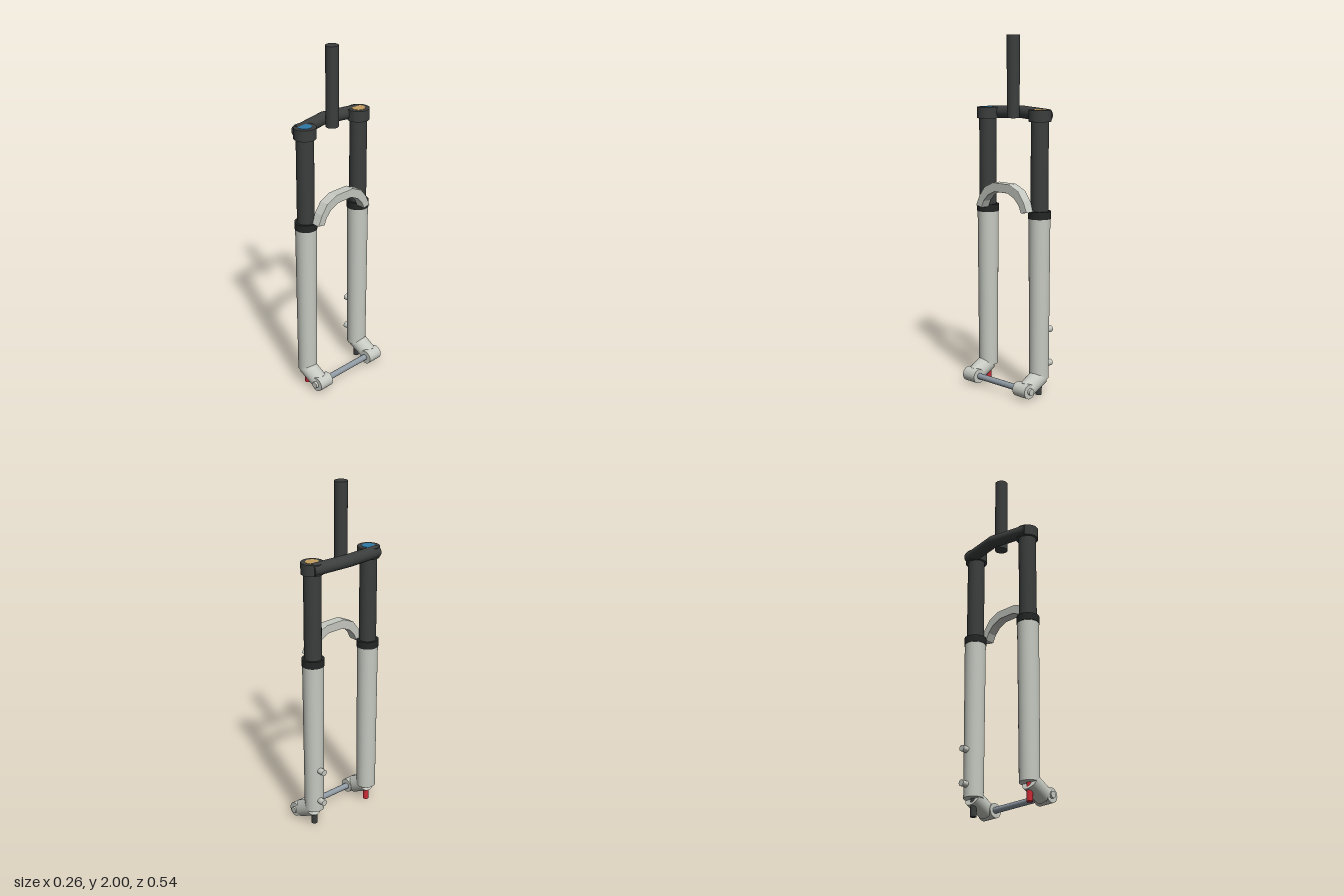
import * as THREE from 'three';

const paint = (color) => new THREE.MeshStandardMaterial({ color });

export function createModel() {
  const root = new THREE.Group();
  const silver = paint(0xc6c9c1);
  const black = paint(0x3c3e3e);
  const rubber = paint(0x242626);
  const steel = paint(0x8f9aa3);
  const X = -0.03; // plane of the two legs
  const Z = 0.205; // half the distance between them

  const add = (parent, name, geometry, material) => {
    const mesh = new THREE.Mesh(geometry, material);
    mesh.name = name;
    parent.add(mesh);
    return mesh;
  };

  // Capped round bar between two points
  const bar = (parent, name, a, b, rA, rB, material) => {
    const from = new THREE.Vector3(...a);
    const dir = new THREE.Vector3(...b).sub(from);
    const mesh = add(parent, name, new THREE.CylinderGeometry(rB, rA, dir.length(), 36), material);
    mesh.position.copy(from).addScaledVector(dir, 0.5);
    mesh.quaternion.setFromUnitVectors(new THREE.Vector3(0, 1, 0), dir.normalize());
    return mesh;
  };

  // Steerer
  bar(root, 'steererTube', [X, 1.545, 0], [X, 2, 0], 0.036, 0.036, black);

  // Crown: two bars meeting in a bend behind the steerer
  const crown = new THREE.Group();
  crown.name = 'crown';
  root.add(crown);
  const bend = [-0.096, 1.576, 0];
  add(crown, 'crownBend', new THREE.SphereGeometry(0.0355, 32, 20), black).position.set(...bend);

  for (const s of [1, -1]) {
    const z = s * Z;
    const leg = new THREE.Group();
    leg.name = s > 0 ? 'frontLeg' : 'rearLeg';
    root.add(leg);
    const post = (name, y0, y1, r0, r1, material) =>
      bar(leg, name, [X, y0, z], [X, y1, z], r0, r1, material);

    bar(crown, 'crownArm', bend, [-0.063, 1.567, s * 0.233], 0.0355, 0.0355, black);

    // Upper and lower tubes with their clamps, seals and adjusters
    post('lowerTube', 0.1, 1.005, 0.055, 0.06, silver);
    post('dustSeal', 1.003, 1.045, 0.063, 0.063, rubber);
    post('upperTube', 1.04, 1.58, 0.049, 0.049, black);
    post('crownClamp', 1.535, 1.598, 0.0625, 0.0625, black);
    post('topCap', 1.58, 1.6, 0.038, 0.038, paint(s > 0 ? 0x2f78a8 : 0xc49f60));
    post('bottomKnob', 0, 0.1, 0.017, 0.017, s > 0 ? paint(0xc82a35) : black);

    // Dropout arm and axle hub
    bar(leg, 'dropoutArm', [X, 0.107, s * 0.209], [0.076, 0.05, s * 0.209], 0.051, 0.049, silver);
    bar(leg, 'axleHub', [0.09, 0.051, s * 0.157], [0.09, 0.051, s * 0.251], 0.041, 0.041, silver);
    bar(leg, 'axleEnd', [0.087, 0.051, s * 0.24], [0.087, 0.051, s * 0.265], 0.019, 0.019, silver);
  }

  // Axle
  bar(root, 'axle', [0.087, 0.051, -0.25], [0.087, 0.051, 0.25], 0.0175, 0.0175, steel);

  // Brake mounts on the rear leg
  for (const y of [0.17, 0.365])
    bar(root, 'brakeMount', [-0.122, y, -0.207], [-0.06, y, -0.207], 0.018, 0.018, silver);

  // Faceted arch: half outline mirrored across z = 0, extruded along x
  const outer = [[0.202, 1.043], [0.175, 1.102], [0.134, 1.155], [0.065, 1.186]];
  const inner = [[0.052, 1.135], [0.105, 1.11], [0.138, 1.075], [0.157, 1.035]];
  const mirror = (pts) => pts.map(([z, y]) => [-z, y]).reverse();
  const outline = [...outer, ...mirror(outer), ...mirror(inner), ...inner];
  const shape = new THREE.Shape(outline.map(([z, y]) => new THREE.Vector2(z, y)));
  const archGeometry = new THREE.ExtrudeGeometry(shape, {
    depth: 0.05, bevelEnabled: true, bevelThickness: 0.004, bevelSize: 0.004, bevelOffset: -0.004, bevelSegments: 2,
  });
  const arch = add(root, 'arch', archGeometry, silver);
  arch.rotation.y = Math.PI / 2;
  arch.position.x = 0.014;

  return root;
}
